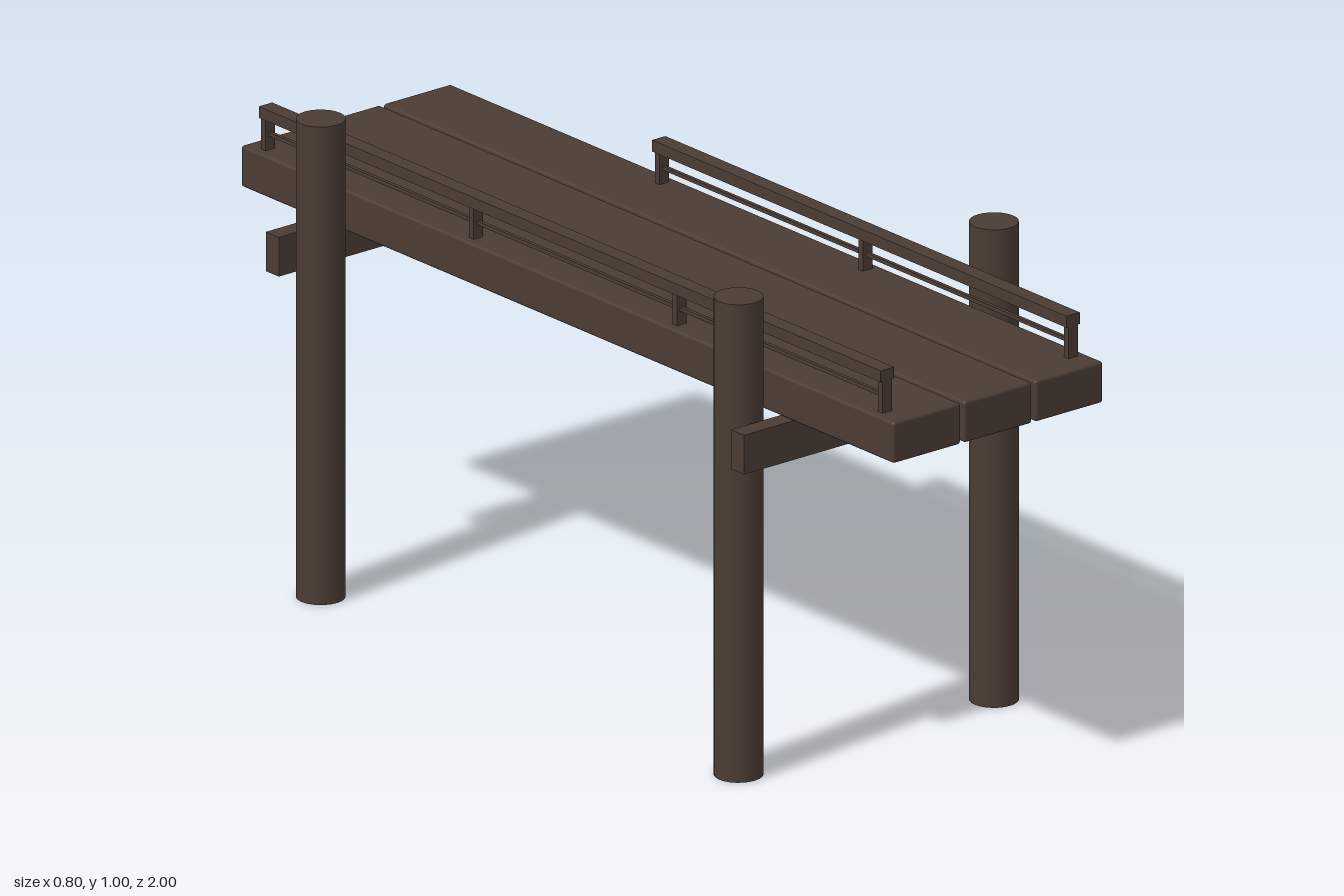
import * as THREE from 'three';
import { RoundedBoxGeometry } from 'three/addons/geometries/RoundedBoxGeometry.js';

export function createModel() {
  const model = new THREE.Group();
  model.name = 'dock';
  const wood = new THREE.MeshStandardMaterial({ color: 0x4a3c34 });
  wood.name = 'dark wood';

  function add(name, geometry, x, y, z, parent = model) {
    const mesh = new THREE.Mesh(geometry, wood);
    mesh.name = name;
    mesh.position.set(x, y, z);
    parent.add(mesh);
  }

  // box given by its extents along each axis
  function box(name, [x0, x1], [y0, y1], [z0, z1], parent = model, radius = 0) {
    const size = [x1 - x0, y1 - y0, z1 - z0];
    const geometry = radius ? new RoundedBoxGeometry(...size, 2, radius) : new THREE.BoxGeometry(...size);
    add(name, geometry, (x0 + x1) / 2, (y0 + y1) / 2, (z0 + z1) / 2, parent);
  }

  // deck planks running front to back
  for (const x of [-0.191, -0.01, 0.171]) {
    box('plank', [x - 0.086, x + 0.086], [0.752, 0.838], [-1, 1], model, 0.006);
  }

  // cross beams below the deck; the back one is shorter
  box('frontBeam', [-0.4, 0.398], [0.67, 0.752], [0.65, 0.69]);
  box('backBeam', [-0.4, 0.225], [0.67, 0.752], [-0.775, -0.735]);

  // three round piles
  const pile = new THREE.CylinderGeometry(0.049, 0.049, 1, 24);
  for (const [x, z] of [[-0.335, 0.595], [0.315, 0.595], [-0.335, -0.685]]) {
    add('pile', pile, x, 0.5, z);
  }

  // railing: posts, flat handrail and a thin middle bar
  function railing(name, x, back, postZs) {
    const rail = new THREE.Group();
    rail.name = name;
    model.add(rail);
    box('handrail', [x - 0.017, x + 0.017], [0.904, 0.928], [back, 0.945], rail);
    box('middleBar', [x - 0.004, x + 0.004], [0.867, 0.875], [back + 0.01, 0.94], rail);
    for (const z of postZs) {
      box('railPost', [x - 0.012, x + 0.012], [0.836, 0.905], [z - 0.007, z + 0.007], rail);
    }
  }
  railing('rightRailing', -0.247, -0.96, [0.938, 0.308, -0.315, -0.952]);
  railing('leftRailing', 0.226, -0.325, [0.938, 0.308, -0.315]);

  return model;
}
